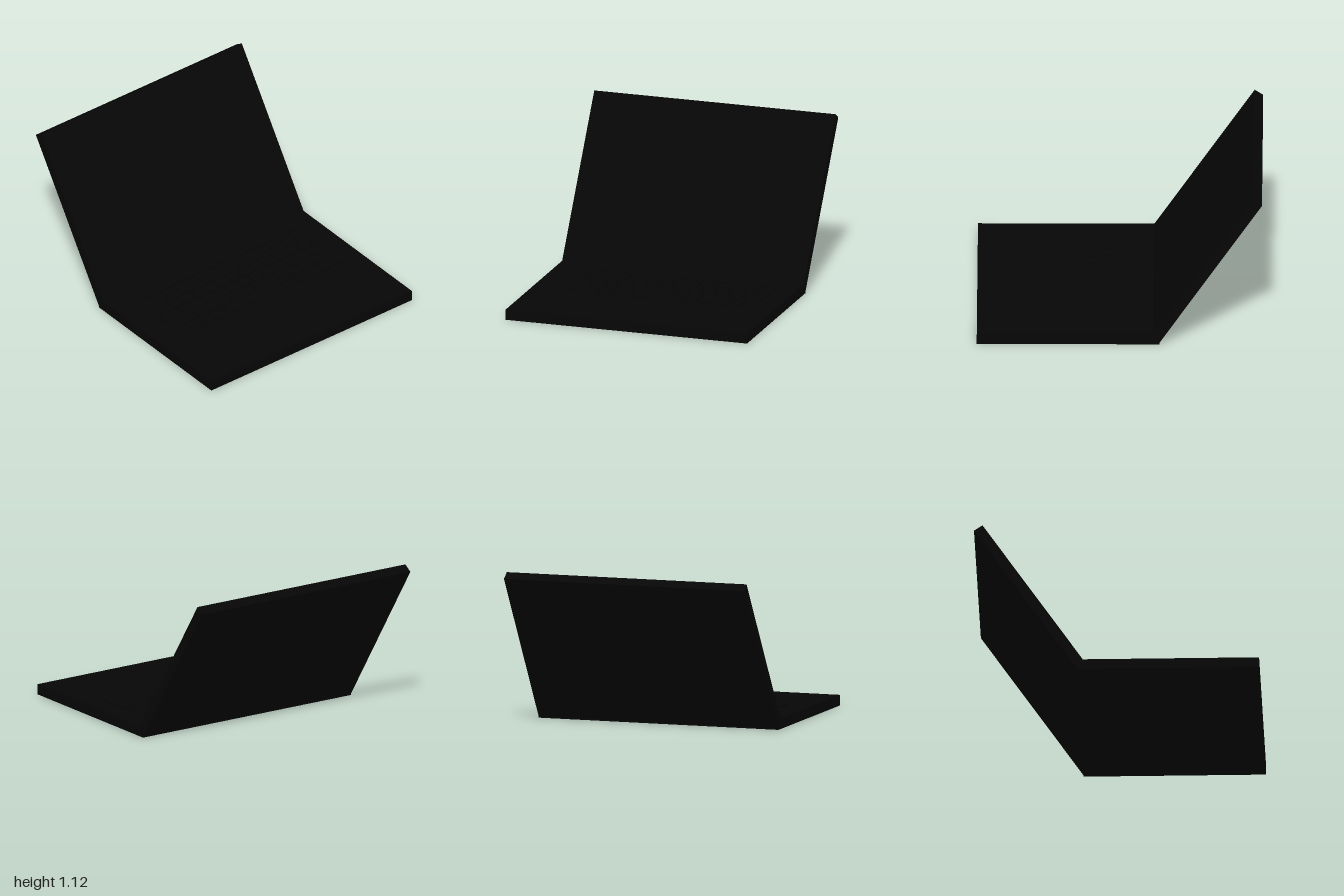
import * as THREE from 'three';

const dark = new THREE.MeshStandardMaterial({ color: 0x060606 });
const HALF_W = 0.893;

function box(name, w, h, d, x, y, z) {
  const m = new THREE.Mesh(new THREE.BoxGeometry(w, h, d), dark);
  m.name = name;
  m.position.set(x, y, z);
  return m;
}

function rect(path, x0, y0, x1, y1) {
  path.moveTo(x0, y0);
  path.lineTo(x1, y0);
  path.lineTo(x1, y1);
  path.lineTo(x0, y1);
  path.closePath();
  return path;
}

// Flat plate with a rectangular opening, extruded along +z
function frame(name, outer, opening, depth) {
  const shape = rect(new THREE.Shape(), ...outer);
  shape.holes.push(rect(new THREE.Path(), ...opening));
  const m = new THREE.Mesh(new THREE.ExtrudeGeometry(shape, { depth, bevelEnabled: false }), dark);
  m.name = name;
  return m;
}

export function createModel() {
  const laptop = new THREE.Group();
  laptop.name = 'laptop';

  // Base: solid tray with a top deck that leaves the touchpad slightly sunken
  const base = new THREE.Group();
  base.name = 'base';
  const deck = frame('deck', [-HALF_W, -1, HALF_W, 0.28], [-0.525, -0.87, 0.515, -0.455], 0.005);
  deck.rotation.x = -Math.PI / 2;
  deck.position.y = 0.07;
  base.add(box('tray', HALF_W * 2, 0.07, 1.28, 0, 0.035, 0.36), deck);
  base.add(box('touchpad', 1.02, 0.003, 0.395, -0.005, 0.0715, 0.6625));
  laptop.add(base);

  // Keyboard: rows of key widths in units; negative numbers are gaps
  const keyboard = new THREE.Group();
  keyboard.name = 'keyboard';
  const ones = (n) => Array(n).fill(1);
  const rows = [
    { z: -0.094, d: 0.027, keys: Array(16).fill(14.2 / 16) },
    { z: 0.006, d: 0.085, keys: [...ones(13), 1.2] },
    { z: 0.1, d: 0.085, keys: [1.5, ...ones(12), 0.7] },
    { z: 0.195, d: 0.085, keys: [1.75, ...ones(11), 1.45] },
    { z: 0.29, d: 0.085, keys: [2.2, ...ones(10), 1, 1] },
    { z: 0.385, d: 0.085, keys: [1, 1, 1, 1, 5, 1, 1, -0.2, 1, 1, 1] },
  ];
  const unit = 1.467 / 14.2, gap = 0.014;
  rows.forEach(({ z, d, keys }) => {
    let x = -0.717;
    keys.forEach((k) => {
      const w = Math.abs(k) * unit;
      if (k > 0) keyboard.add(box('key', w - gap, 0.012, d, x + w / 2, 0.08, z));
      x += w;
    });
  });
  laptop.add(keyboard);

  // Lid: leaning back about the hinge line, with a bezel around a sunken screen
  const lid = new THREE.Group();
  lid.name = 'lid';
  lid.position.set(0, 0.01, -0.28);
  lid.rotation.x = -Math.atan2(0.72, 1.07);
  const bezel = frame('bezel', [-HALF_W, 0, HALF_W, 1.29], [-0.8, 0.08, 0.8, 1.21], 0.01);
  bezel.position.z = 0.062;
  lid.add(box('lidShell', HALF_W * 2, 1.29, 0.062, 0, 0.645, 0.031), bezel);
  lid.add(box('screen', 1.6, 1.13, 0.004, 0, 0.645, 0.064));
  laptop.add(lid);

  return laptop;
}
